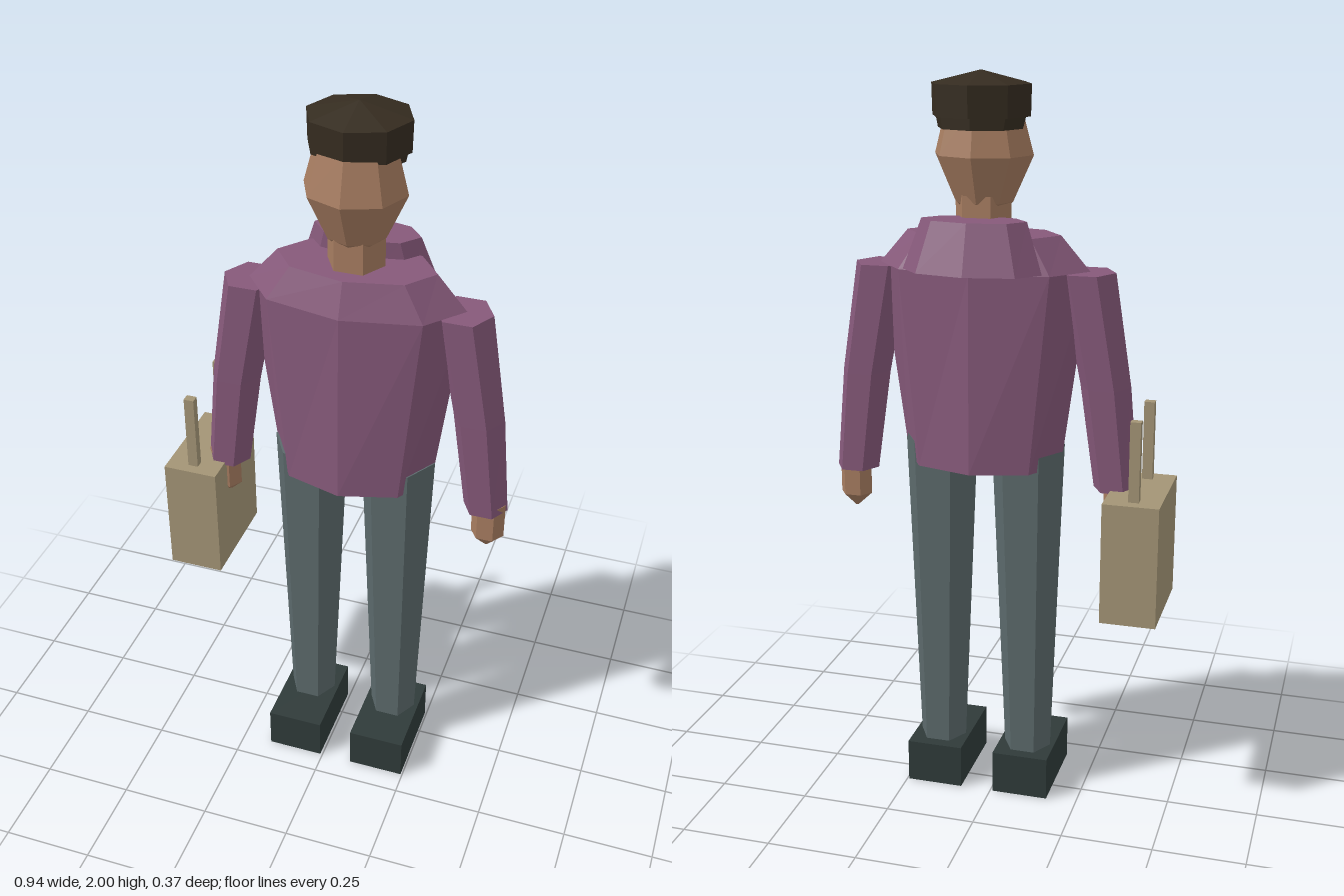
import * as THREE from 'three';

const mat = (name, color) => {
  const m = new THREE.MeshStandardMaterial({ color, flatShading: true });
  m.name = name;
  return m;
};

// Faceted solid through rings [y, rx, rz, cx, cz], with n sides and closed ends
function loft(n, rings, phase = 0) {
  const pos = [];
  const point = ([y, rx, rz, cx = 0, cz = 0], i) => {
    const a = phase + (i / n) * Math.PI * 2;
    return [cx + rx * Math.sin(a), y, cz + rz * Math.cos(a)];
  };
  const centre = ([y, , , cx = 0, cz = 0]) => [cx, y, cz];
  const tri = (...corners) => corners.forEach((c) => pos.push(...c));
  const first = rings[0], last = rings[rings.length - 1];
  for (let i = 0; i < n; i++) {
    for (let k = 0; k < rings.length - 1; k++) {
      const a = point(rings[k], i), b = point(rings[k], i + 1);
      const c = point(rings[k + 1], i + 1), d = point(rings[k + 1], i);
      tri(a, b, c);
      tri(a, c, d);
    }
    tri(centre(last), point(last, i), point(last, i + 1));
    tri(centre(first), point(first, i + 1), point(first, i));
  }
  const g = new THREE.BufferGeometry();
  g.setAttribute('position', new THREE.Float32BufferAttribute(pos, 3));
  g.computeVertexNormals();
  return g;
}

export function createModel() {
  const model = new THREE.Group();
  model.name = 'travellerWithCase';
  const body = new THREE.Group();
  body.name = 'person';
  body.position.x = 0.04;
  model.add(body);

  const purple = mat('purple cloth', 0x86597a);
  const skin = mat('skin', 0xa67c60);
  const trousers = mat('grey trousers', 0x5c6a6c);
  const leather = mat('dark shoes', 0x2f3a39);
  const dark = mat('dark brown hat', 0x352c20);
  const tan = mat('tan case', 0xa39475);

  const add = (parent, name, geometry, material) => {
    const m = new THREE.Mesh(geometry, material);
    m.name = name;
    parent.add(m);
    return m;
  };
  const box = (parent, name, material, w, h, d, x, y, z) =>
    add(parent, name, new THREE.BoxGeometry(w, h, d), material).position.set(x, y, z);
  const HEX = Math.PI / 2; // corners of a six-sided ring point sideways

  // Torso and hood hanging behind the neck
  add(body, 'torso', loft(8, [
    [0.97, 0.215, 0.148, 0, 0.01],
    [1.5, 0.286, 0.142, 0, 0.01],
    [1.59, 0.208, 0.11, 0, 0.01],
  ]), purple);
  add(body, 'hood', loft(8, [
    [1.505, 0.185, 0.085, 0, -0.101],
    [1.635, 0.14, 0.067, 0, -0.079],
  ]), purple);

  // Neck, head, hair and cap
  add(body, 'neck', loft(6, [[1.56, 0.075, 0.075, 0, 0.01], [1.69, 0.075, 0.075, 0, 0.01]], HEX), skin);
  add(body, 'head', loft(8, [
    [1.655, 0.06, 0.055, 0, 0.015],
    [1.67, 0.078, 0.072, 0, 0.015],
    [1.79, 0.132, 0.122, 0, 0.018],
    [1.91, 0.1, 0.095, 0, 0.015],
  ]), skin);
  add(body, 'hair', loft(8, [
    [1.858, 0.112, 0.092, 0, -0.018],
    [1.9, 0.122, 0.1, 0, -0.012],
  ]), dark);
  add(body, 'cap', loft(8, [
    [1.888, 0.13, 0.12, 0, -0.007],
    [1.968, 0.132, 0.122, 0, -0.007],
    [2.0, 0.002, 0.002, 0, -0.007],
  ]), dark);

  // Limbs, mirrored
  for (const [side, s] of [['left', 1], ['right', -1]]) {
    add(body, side + 'Sleeve', loft(6, [
      [0.92, 0.06, 0.06, s * 0.366, 0.01],
      [1.2, 0.068, 0.07, s * 0.333, 0.01],
      [1.5, 0.075, 0.078, s * 0.279, 0.01],
    ], HEX), purple);
    add(body, side + 'Hand', loft(6, [
      [0.8, 0.004, 0.004, s * 0.377, 0.018],
      [0.838, 0.045, 0.039, s * 0.377, 0.018],
      [0.94, 0.045, 0.039, s * 0.377, 0.018],
    ], HEX), skin);
    add(body, side + 'Leg', loft(6, [
      [0.1, 0.066, 0.068, s * 0.126, 0.015],
      [1.03, 0.102, 0.098, s * 0.122, 0.015],
    ], HEX), trousers);
    box(body, side + 'Shoe', leather, 0.158, 0.122, 0.262, s * 0.126, 0.061, 0.054);
  }

  // Case with two upright handle posts
  const bag = new THREE.Group();
  bag.name = 'case';
  model.add(bag);
  box(bag, 'caseBody', tan, 0.15, 0.333, 0.283, -0.396, 0.762, -0.008);
  for (const z of [0.093, -0.106])
    box(bag, 'handlePost', tan, 0.028, 0.217, 0.023, -0.398, 1.036, z);

  return model;
}
